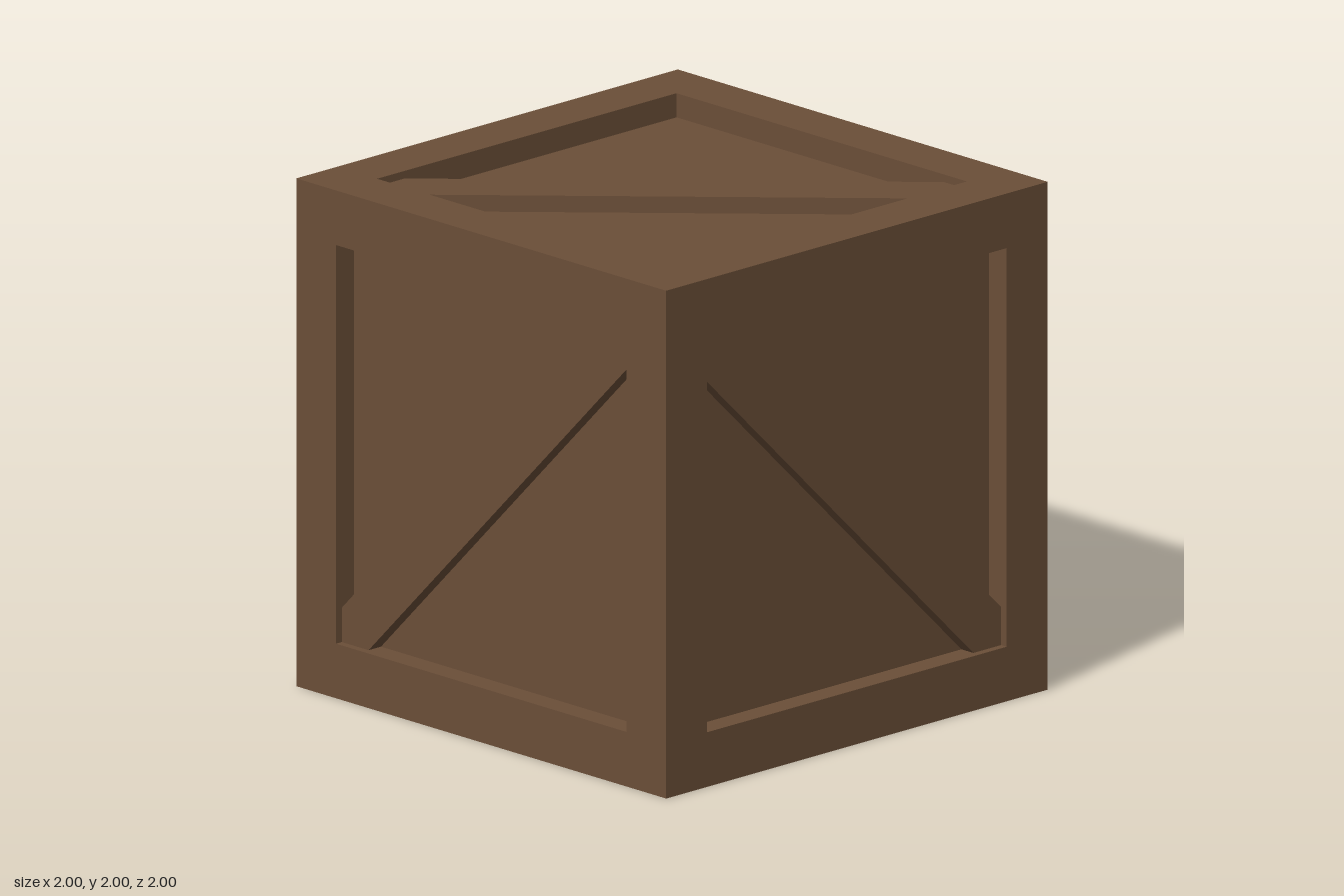
import * as THREE from 'three';

export function createModel() {
  const crate = new THREE.Group();
  crate.name = 'crate';
  const wood = new THREE.MeshStandardMaterial({ color: 0x6b4f38 });
  wood.name = 'brown wood';

  const OPEN = 0.785;           // half size of each framed opening
  const BEAM = 1 - OPEN;        // beam thickness
  const MID = (1 + OPEN) / 2;   // beam centre line
  const PANEL = 0.905;          // distance of the recessed panels from the centre
  const BRACE = 0.97;           // distance of the brace faces from the centre

  function addBox(name, size, position) {
    const mesh = new THREE.Mesh(new THREE.BoxGeometry(...size), wood);
    mesh.name = name;
    mesh.position.set(...position);
    crate.add(mesh);
  }

  // Inner box whose sides are the recessed panels
  addBox('panels', [PANEL * 2, PANEL * 2, PANEL * 2], [0, 1, 0]);

  // Corner posts, with rails fitted between them
  for (const a of [-MID, MID]) {
    for (const b of [-MID, MID]) {
      addBox('cornerPost', [BEAM, 2, BEAM], [a, 1, b]);
      addBox('crossRail', [OPEN * 2, BEAM, BEAM], [0, 1 + a, b]);
      addBox('sideRail', [BEAM, BEAM, OPEN * 2], [a, 1 + b, 0]);
    }
  }

  // Diagonal brace, cut to the opening; flip mirrors it left to right
  // left, bottom: ends of the lower edge; top, right: ends of the upper edge
  function addBrace(name, [rx, ry], flip, [left, bottom, top, right]) {
    const outline = [
      [-OPEN, OPEN], [-OPEN, left], [bottom, -OPEN],
      [OPEN, -OPEN], [OPEN, -right], [-top, OPEN],
    ].map(([x, y]) => new THREE.Vector2(x * flip, y));
    const geometry = new THREE.ExtrudeGeometry(new THREE.Shape(outline), {
      depth: BRACE - PANEL, bevelEnabled: false,
    });
    geometry.translate(0, 0, PANEL);
    const mesh = new THREE.Mesh(geometry, wood);
    mesh.name = name;
    mesh.rotation.set(rx, ry, 0);
    mesh.position.y = 1;
    crate.add(mesh);
  }

  const Q = Math.PI / 2;
  const cut = [0.66, 0.64, 0.62, 0.65];
  addBrace('frontBrace', [0, 0], 1, [0.61, 0.64, 0.66, 0.635]);
  addBrace('backBrace', [0, Math.PI], 1, cut);
  addBrace('leftBrace', [0, Q], -1, cut);
  addBrace('rightBrace', [0, -Q], -1, cut);
  addBrace('topBrace', [-Q, 0], 1, [0.64, 0.61, 0.64, 0.66]);
  addBrace('bottomBrace', [Q, 0], -1, cut);

  return crate;
}
